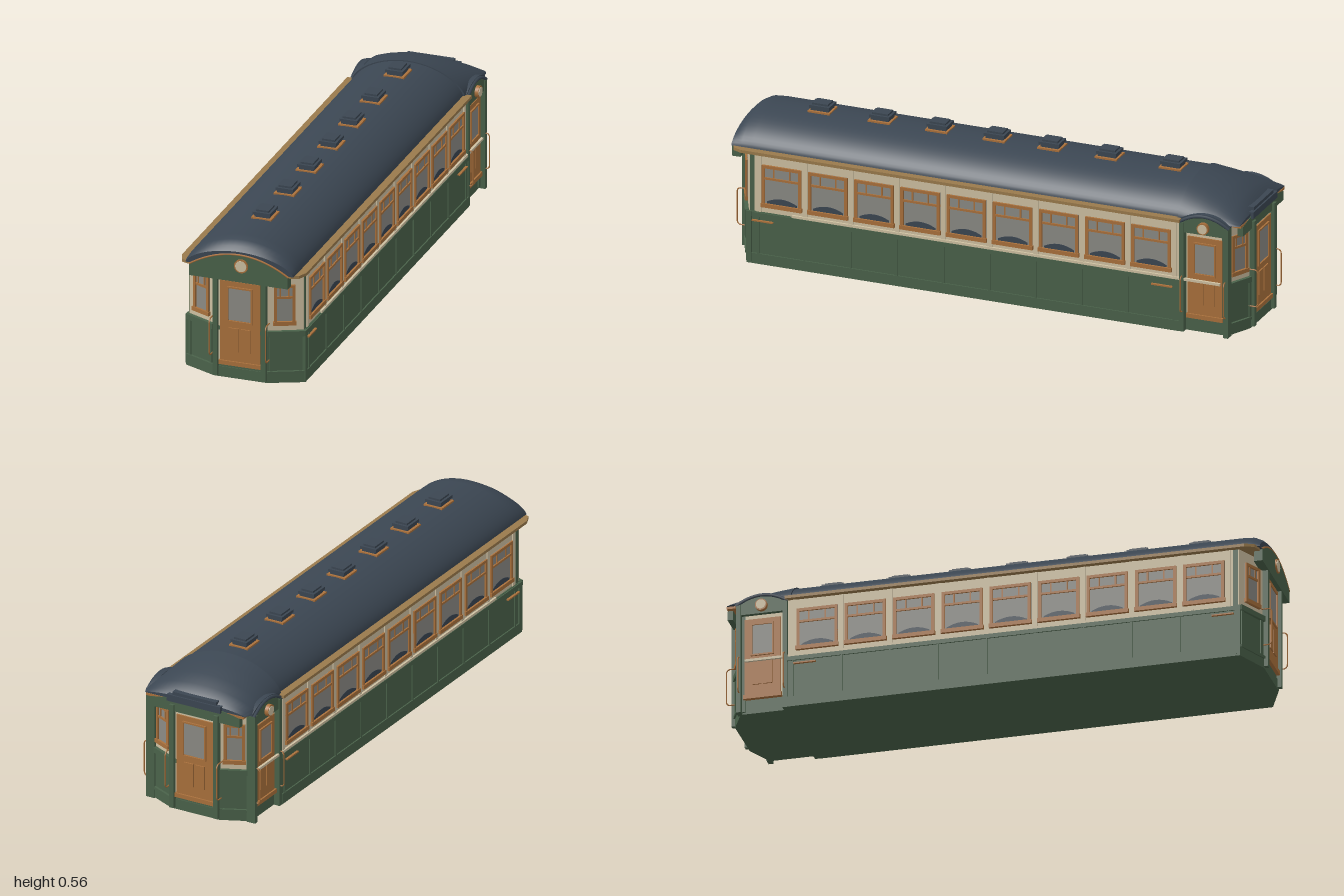
import * as THREE from 'three';
import { toCreasedNormals } from 'three/addons/utils/BufferGeometryUtils.js';

const paint = (name, color) => {
  const m = new THREE.MeshStandardMaterial({ color });
  m.name = name;
  return m;
};

export function createModel() {
  const green = paint('green', 0x4a624a), cream = paint('cream', 0xcfc1a2);
  const slate = paint('slate', 0x3b4652), wood = paint('wood', 0xaa713c);
  const tan = paint('tan', 0x9a7a4c), glass = paint('glass', 0x8b8a84);

  const add = (parent, name, geo, mat, x = 0, y = 0, z = 0) => {
    const m = new THREE.Mesh(geo, mat);
    m.name = name;
    m.position.set(x, y, z);
    parent.add(m);
    return m;
  };
  // box given by its extents
  const box = (parent, name, mat, x0, x1, y0, y1, z0, z1) =>
    add(parent, name, new THREE.BoxGeometry(x1 - x0, y1 - y0, z1 - z0), mat,
      (x0 + x1) / 2, (y0 + y1) / 2, (z0 + z1) / 2);
  const group = (parent, name, x = 0, y = 0, z = 0, ry = 0) => {
    const g = new THREE.Group();
    g.name = name;
    g.position.set(x, y, z);
    g.rotation.y = ry;
    parent.add(g);
    return g;
  };
  const extrude = (shape, depth) =>
    new THREE.ExtrudeGeometry(shape, { depth, bevelEnabled: false, curveSegments: 20 });
  // floor plan outline extruded upwards; points are [x, z] for the +x half
  const plan = (half, y0, y1) => {
    const pts = [...half, ...half.map(([x, z]) => [-x, z]).reverse()];
    return extrude(new THREE.Shape(pts.map(([x, z]) => new THREE.Vector2(x, -z))), y1 - y0)
      .rotateX(-Math.PI / 2).translate(0, y0, 0);
  };
  // panel with an arched top
  const arch = (w, y0, y1, peak, depth) => {
    const s = new THREE.Shape();
    s.moveTo(-w, y0);
    s.lineTo(w, y0);
    s.lineTo(w, y1);
    s.quadraticCurveTo(0, 2 * peak - y1, -w, y1);
    return toCreasedNormals(extrude(s, depth), 0.5);
  };
  const archTrim = (w, y, peak, r) => new THREE.TubeGeometry(new THREE.QuadraticBezierCurve3(
    new THREE.Vector3(-w, y, 0), new THREE.Vector3(0, 2 * peak - y, 0), new THREE.Vector3(w, y, 0)), 24, r, 6);
  // curved roof lofted through [z, halfWidth, top]
  const roof = (sections) => {
    const n = 28, pos = [], idx = [];
    for (const [z, w, h] of sections)
      for (let i = 0; i <= n; i++) {
        const t = (i / n - 0.5) * Math.PI;
        pos.push(w * Math.sin(t), 0.43 + (h - 0.43) * Math.pow(Math.max(0, Math.cos(t)), 1.3), z);
      }
    const k = n + 1, last = (sections.length - 1) * k;
    for (let j = 0; j < last; j += k)
      for (let i = 0; i < k; i++) {
        const a = j + i, b = j + (i + 1) % k;
        idx.push(a, a + k, b, b, a + k, b + k);
      }
    for (let i = 1; i < n; i++) idx.push(0, i, i + 1, last, last + i + 1, last + i);
    const g = new THREE.BufferGeometry();
    g.setAttribute('position', new THREE.Float32BufferAttribute(pos, 3));
    g.setIndex(idx);
    return toCreasedNormals(g, 0.6);
  };
  // sash window, local +z outwards
  const sash = (parent, x, w, y0, y1, seat) => {
    const g = group(parent, 'window', x), h = w / 2, t = 0.011, bar = y0 + (y1 - y0) * 0.68;
    box(g, 'windowGlass', glass, -h, h, y0, y1, 0, 0.003);
    for (const s of [-1, 1]) {
      const e = s * (h - t / 2);
      box(g, 'windowJamb', wood, e - t / 2, e + t / 2, y0, y1, 0, 0.009);
      box(g, 'upperMullion', wood, s * w * 0.2 - 0.0025, s * w * 0.2 + 0.0025, bar, y1, 0, 0.006);
    }
    box(g, 'windowSill', wood, -h - 0.003, h + 0.003, y0 - 0.004, y0 + t, 0, 0.012);
    box(g, 'windowHead', wood, -h, h, y1 - t, y1, 0, 0.009);
    box(g, 'windowBar', wood, -h, h, bar - 0.004, bar + 0.004, 0, 0.008);
    if (seat) add(g, 'seatBack', arch(w * 0.38, y0 + t, y0 + 0.018, y0 + 0.033, 0.002), slate, 0, 0, 0.0025);
  };
  // door with window and lower panels, local +z outwards
  const door = (parent, w, y0, y1) => {
    const g = group(parent, 'door');
    box(g, 'doorFrame', cream, -w - 0.007, w + 0.007, y0, y1 + 0.016, 0, 0.005);
    box(g, 'doorLeaf', wood, -w, w, y0, y1, 0, 0.01);
    box(g, 'doorGlass', glass, -w * 0.57, w * 0.57, y0 + 0.17, y1 - 0.025, 0.01, 0.012);
    for (const s of [-1, 1]) {
      box(g, 'doorStile', wood, s * w * 0.6 - 0.003, s * w * 0.6 + 0.003, y0 + 0.165, y1 - 0.02, 0.01, 0.016);
      box(g, 'doorPanel', wood, s * w * 0.3 - w * 0.25, s * w * 0.3 + w * 0.25, y0 + 0.05, y0 + 0.14, 0.01, 0.015);
    }
    for (const y of [y0 + 0.165, y1 - 0.022])
      box(g, 'doorRail', wood, -w * 0.64, w * 0.64, y - 0.003, y + 0.003, 0.01, 0.016);
    box(g, 'doorSill', wood, -w - 0.004, w + 0.004, y0 - 0.004, y0 + 0.012, 0, 0.016);
  };
  const handrail = (parent, x, z, y0, y1, out) => {
    const p = [[y0, 0], [y0, out * 0.8], [y0 + 0.01, out], [y1 - 0.01, out], [y1, out * 0.8], [y1, 0]];
    const path = new THREE.CurvePath();
    for (let i = 1; i < p.length; i++)
      path.add(new THREE.LineCurve3(new THREE.Vector3(0, ...p[i - 1]), new THREE.Vector3(0, ...p[i])));
    add(parent, 'handrail', new THREE.TubeGeometry(path, 30, 0.0025, 6), wood, x, 0, z);
  };
  const lamp = (parent, x, y, z, r) => {
    add(parent, 'lampRim', new THREE.CylinderGeometry(r, r, 0.016, 24).rotateX(Math.PI / 2), wood, x, y, z);
    add(parent, 'lampLens', new THREE.CylinderGeometry(r * 0.8, r * 0.8, 0.02, 24).rotateX(Math.PI / 2), cream, x, y, z);
  };

  const model = new THREE.Group();
  model.name = 'passengerCarriage';

  // body shell, narrower beside the rear side doors
  const shell = (s, d) => [[0.1, 0.965 - d], [s, 0.91 - d], [s, -0.745], [0.2, -0.745], [0.2, -0.918 + d], [0.1, -0.965 + d]];
  add(model, 'lowerBody', plan(shell(0.22, 0), 0.01, 0.2), green);
  add(model, 'skirt', plan(shell(0.225, -0.003), 0.003, 0.042), green);
  add(model, 'beltRail', plan(shell(0.225, -0.004), 0.182, 0.198), green);
  add(model, 'upperBody', plan(shell(0.215, 0.003), 0.2, 0.43), cream);
  add(model, 'eave', plan([[0.19, 0.975], [0.22, 0.965], [0.235, 0.93], [0.235, -0.75]], 0.421, 0.432), tan);

  // roofs
  add(model, 'mainRoof', roof([[-0.745, 0.207, 0.532], [0.9, 0.207, 0.532], [0.94, 0.207, 0.528],
    [0.965, 0.206, 0.513], [0.98, 0.203, 0.497]]), slate);
  add(model, 'rearRoof', roof([[-0.97, 0.205, 0.448], [-0.955, 0.212, 0.465], [-0.92, 0.216, 0.487],
    [-0.87, 0.217, 0.507], [-0.8, 0.216, 0.524], [-0.735, 0.214, 0.536]]), slate);

  // roof vents
  for (const z of [-0.63, -0.385, -0.165, 0.045, 0.265, 0.485, 0.715]) {
    const v = group(model, 'roofVent', 0, 0, z);
    box(v, 'ventBase', wood, -0.038, 0.038, 0.522, 0.536, -0.042, 0.042);
    box(v, 'ventNeck', slate, -0.028, 0.028, 0.53, 0.55, -0.034, 0.034);
    box(v, 'ventCap', slate, -0.033, 0.033, 0.545, 0.556, -0.039, 0.039);
    box(v, 'ventTop', slate, -0.024, 0.024, 0.556, 0.563, -0.03, 0.03);
  }

  // both ends: central door, posts, angled flanks
  for (const rear of [false, true]) {
    const end = group(model, rear ? 'rearEnd' : 'frontEnd', 0, 0, 0, rear ? Math.PI : 0);
    const bay = group(end, 'doorBay', 0, 0, 0.962);
    door(bay, 0.075, 0.058, 0.376);
    for (const s of [-1, 1]) {
      box(end, 'doorPost', green, s * 0.091 - 0.009, s * 0.091 + 0.009, 0.01, 0.412, 0.945, 0.982);
      handrail(end, s * 0.106, 0.96, 0.09, 0.23, 0.038);
      const ex = rear ? 0.2 : 0.22, ez = rear ? 0.918 : 0.91;
      const a = Math.atan2(0.965 - ez, ex - 0.1), w = Math.hypot(0.965 - ez, ex - 0.1);
      const flank = group(end, 'flank', s * (0.1 + ex) / 2, 0, (0.965 + ez) / 2, s * a);
      const inner = group(flank, 'flankWindow', -s * 0.004, 0, -0.003);
      sash(inner, 0, 0.076, 0.228, 0.378, false);
      box(flank, 'flankBelt', green, -w / 2, w / 2, 0.182, 0.202, -0.004, 0.01);
      box(flank, 'flankSill', green, -w / 2, w / 2, 0.038, 0.048, -0.004, 0.009);
      for (const e of [-1, 1])
        box(flank, 'flankBatten', green, e * 0.052 - 0.005, e * 0.052 + 0.005, 0.045, 0.185, -0.004, 0.005);
      box(end, 'cornerPost', green, s * ex - 0.006, s * ex + 0.006, 0.01, rear ? 0.42 : 0.2, ez - 0.016, ez + 0.004);
      if (!rear) box(end, 'upperCornerPost', green, s * 0.213 - 0.004, s * 0.213 + 0.004, 0.2, 0.42, 0.885, 0.903);
    }
    if (rear) {
      add(end, 'rearPediment', arch(0.185, 0.385, 0.42, 0.44, 0.02), green, 0, 0, 0.953);
      box(end, 'rearHood', slate, -0.11, 0.11, 0.425, 0.45, 0.93, 0.982);
      box(end, 'rearHoodTop', slate, -0.09, 0.09, 0.45, 0.462, 0.92, 0.976);
      box(end, 'rearTrim', wood, -0.2, 0.2, 0.421, 0.43, 0.94, 0.972);
    } else {
      add(end, 'frontPediment', arch(0.185, 0.383, 0.425, 0.485, 0.032), green, 0, 0, 0.953);
      add(end, 'pedimentTrim', archTrim(0.187, 0.427, 0.487, 0.0035), wood, 0, 0, 0.983);
      lamp(end, 0.01, 0.447, 0.982, 0.026);
    }
  }

  // both long sides
  for (const s of [-1, 1]) {
    const side = group(model, s > 0 ? 'leftSide' : 'rightSide', s * 0.214, 0, 0, s * Math.PI / 2);
    const at = (z) => -s * z;
    for (let i = 0; i < 9; i++) sash(side, at(0.78 - i * 0.177), 0.15, 0.226, 0.382, true);
    for (let i = 0; i < 10; i++) {
      const x = at(0.8685 - i * 0.177);
      box(side, 'windowPillar', cream, x - 0.009, x + 0.009, 0.2, 0.42, 0, 0.005);
      box(side, 'sideBatten', green, x - 0.004, x + 0.004, 0.04, 0.185, 0.004, 0.01);
    }
    box(side, 'waistMoulding', cream, -0.82 - s * -0.08, 0.82 - s * -0.08, 0.198, 0.207, 0, 0.009);
    for (const z of [0.85, -0.68]) {
      const x = at(z);
      box(side, 'grabBar', wood, x - 0.04, x + 0.04, 0.166, 0.171, 0.008, 0.017);
    }

    // recessed side doorway at the rear
    const bay = group(model, 'sideDoorway', s * 0.2, 0, -0.838, s * Math.PI / 2);
    box(bay, 'doorwayWall', green, -0.08, 0.08, 0.19, 0.43, -0.01, 0.003);
    door(bay, 0.066, 0.06, 0.366);
    for (const e of [-1, 1]) {
      box(bay, 'doorwayPost', green, e * 0.085 - 0.009, e * 0.085 + 0.009, 0.003, 0.42, -0.01, 0.024);
      handrail(bay, e * 0.083, 0.012, 0.08, 0.215, 0.026);
    }
    add(bay, 'doorwayPediment', arch(0.09, 0.382, 0.415, 0.446, 0.02), green);
    add(bay, 'doorwayHood', arch(0.098, 0.422, 0.43, 0.458, 0.018), slate, 0, 0, -0.002);
    add(bay, 'hoodEdge', archTrim(0.096, 0.418, 0.452, 0.006), slate, 0, 0, 0.02);
    lamp(bay, 0, 0.41, 0.026, 0.022);
  }
  return model;
}
